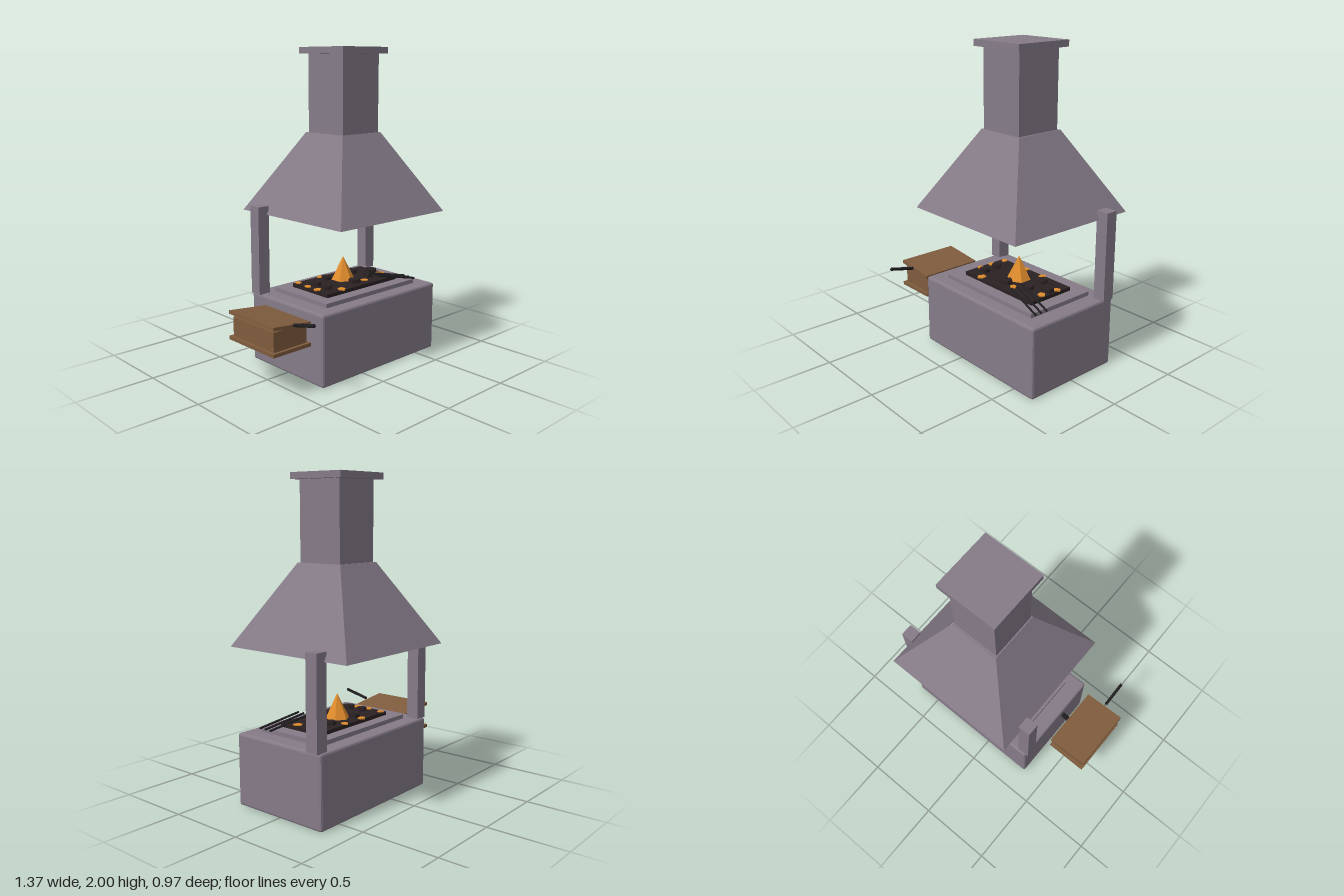
import * as THREE from 'three';
import { RoundedBoxGeometry } from 'three/addons/geometries/RoundedBoxGeometry.js';

const mat = (name, color, extra = {}) => {
  const m = new THREE.MeshStandardMaterial({ color, flatShading: true, ...extra });
  m.name = name;
  return m;
};

export function createModel() {
  const forge = new THREE.Group();
  forge.name = 'forge';

  const stone = mat('stone', 0x857b88, { side: THREE.DoubleSide });
  const wood = mat('wood', 0x7f5c3e);
  const coal = mat('coal', 0x2a2122);
  const iron = mat('iron', 0x1f1d20);
  const fire = mat('fire', 0xe08c2c);

  const add = (name, geometry, material, x = 0, y = 0, z = 0) => {
    const mesh = new THREE.Mesh(geometry, material);
    mesh.name = name;
    mesh.position.set(x, y, z);
    forge.add(mesh);
    return mesh;
  };
  // Box given by its minimum and maximum corners
  const box = (name, material, [x0, y0, z0], [x1, y1, z1]) =>
    add(name, new THREE.BoxGeometry(x1 - x0, y1 - y0, z1 - z0), material,
      (x0 + x1) / 2, (y0 + y1) / 2, (z0 + z1) / 2);
  // Straight rod between two points
  const rod = (name, material, from, to, radius, sides = 6) => {
    const a = new THREE.Vector3(...from), b = new THREE.Vector3(...to);
    const dir = b.clone().sub(a);
    const mesh = add(name, new THREE.CylinderGeometry(radius, radius, dir.length(), sides), material);
    mesh.position.copy(a).add(b).multiplyScalar(0.5);
    mesh.quaternion.setFromUnitVectors(new THREE.Vector3(0, 1, 0), dir.normalize());
    return mesh;
  };

  const cx = 0.16;

  // Hearth block with bevelled edges, slab and coal bed
  add('hearthBase', new RoundedBoxGeometry(1.01, 0.455, 0.67, 1, 0.014), stone, cx, 0.2275, 0);
  box('hearthSlab', stone, [-0.235, 0.45, -0.24], [0.555, 0.482, 0.245]);
  box('coalBed', coal, [-0.15, 0.48, -0.165], [0.47, 0.505, 0.165]);

  // Coal lumps: x, z, radius
  const lumps = [
    [-0.07, 0.07, 0.036], [-0.07, -0.03, 0.034], [0.075, -0.09, 0.037], [0.16, 0.085, 0.04],
    [0.305, -0.09, 0.038], [0.32, 0.05, 0.036], [0.42, -0.02, 0.042],
  ];
  lumps.forEach(([x, z, r], i) => {
    const lump = add('coalLump', new THREE.CylinderGeometry(r * 0.92, r, 0.03, 6), coal, x, 0.513, z);
    lump.rotation.y = i * 0.7;
  });

  // Glowing embers lying on the bed: x, z, radius
  const embers = [
    [-0.13, 0.05, 0.024], [-0.01, 0.145, 0.026], [-0.12, -0.145, 0.02], [0.08, -0.15, 0.024],
    [0.24, -0.15, 0.022], [0.44, 0.05, 0.026], [0.45, -0.07, 0.022], [-0.13, -0.04, 0.022],
    [0.24, 0.1, 0.022],
  ];
  embers.forEach(([x, z, r], i) => {
    const ember = add('ember', new THREE.CylinderGeometry(r, r, 0.008, 5), fire, x, 0.507, z);
    ember.rotation.y = i * 1.1;
    ember.scale.x = 1.2;
  });

  // Flame
  add('flame', new THREE.ConeGeometry(0.08, 0.16, 6), fire, cx, 0.58, -0.02);

  // Three iron rods leaning over the edge of the bed
  for (let i = 0; i < 3; i++) {
    const dz = -0.044 * i;
    rod('fireIron', iron, [0.305, 0.538, 0.172 + dz], [0.58, 0.482, 0.233 + dz], 0.007);
  }

  // Rear posts carrying the hood
  for (const side of [-1, 1]) {
    const x = cx + side * 0.48;
    box('post', stone, [x - 0.041, 0.453, -0.322], [x + 0.041, 1.02, -0.241]);
  }

  // Open pyramid hood, chimney and cap
  const hood = new THREE.CylinderGeometry(0.1675 * Math.SQRT2, 0.4575 * Math.SQRT2, 0.505, 4, 1, true);
  hood.rotateY(Math.PI / 4);
  add('hood', hood, stone, 0.162, 1.2175, -0.025);
  box('hoodTop', stone, [-0.004, 1.464, -0.191], [0.328, 1.47, 0.141]);
  box('chimney', stone, [0.005, 1.465, -0.177], [0.315, 1.965, 0.133]);
  box('chimneyCap', stone, [-0.036, 1.96, -0.219], [0.355, 2.0, 0.173]);

  // Bellows: boards, body, nozzle and handle
  box('bellowsLowerBoard', wood, [-0.685, 0.275, -0.125], [-0.405, 0.297, 0.295]);
  box('bellowsBody', wood, [-0.667, 0.29, -0.105], [-0.423, 0.417, 0.275]);
  const lid = add('bellowsUpperBoard', new THREE.BoxGeometry(0.28, 0.021, 0.42), wood, -0.545, 0.43, 0.085);
  lid.rotation.z = -0.11;
  rod('bellowsNozzle', iron, [-0.43, 0.333, 0.085], [-0.31, 0.369, 0.085], 0.017, 8);
  rod('bellowsHandle', iron, [-0.545, 0.442, 0.31], [-0.545, 0.482, 0.482], 0.011);

  return forge;
}
